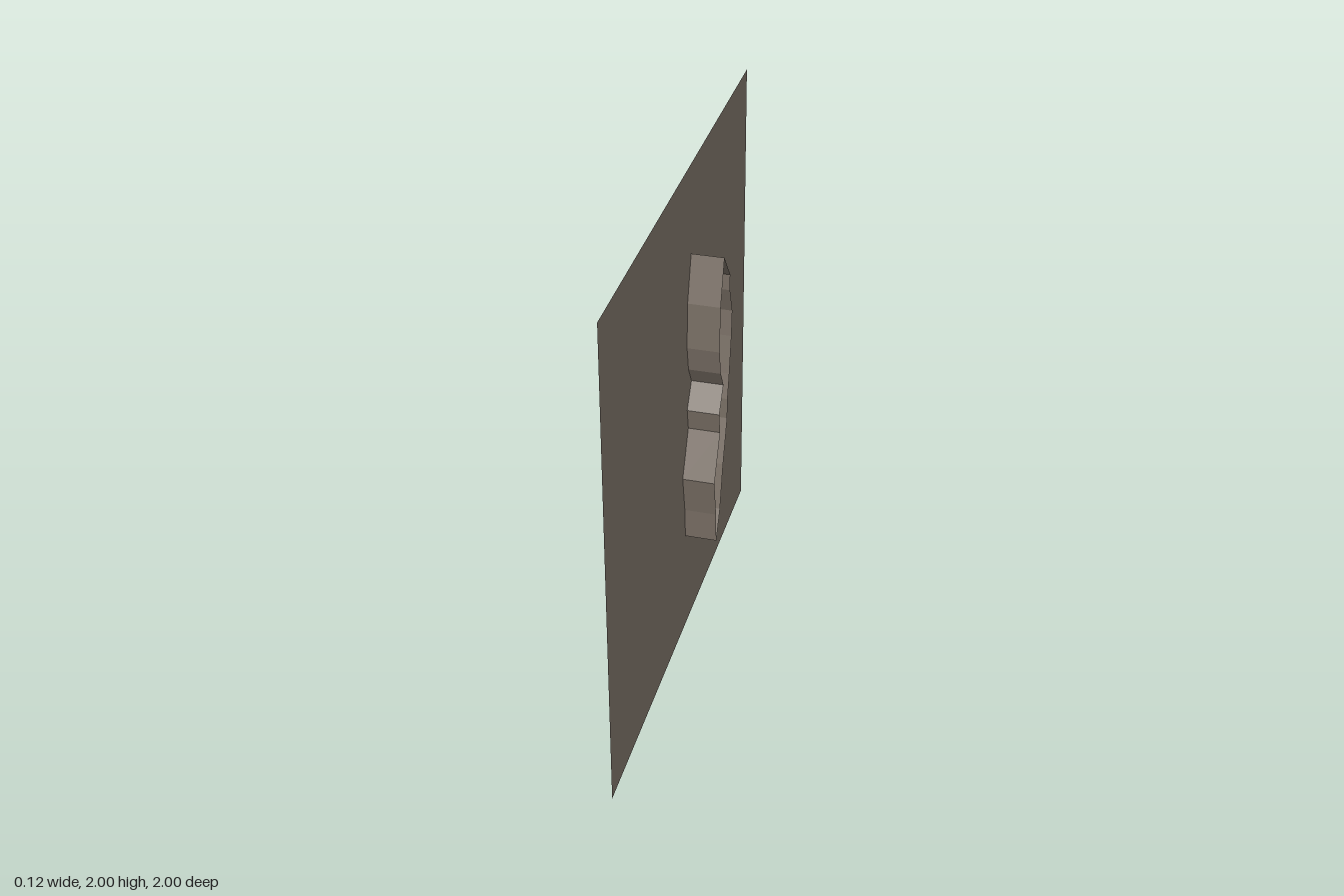
import * as THREE from 'three';

// Jagged outline of the crack: [z, y]
const OUTLINE = [
  [-0.143, 1.64], [-0.235, 1.52], [-0.234, 1.455], [-0.274, 1.345], [-0.264, 1.24],
  [-0.235, 1.09], [-0.21, 0.99], [-0.207, 0.905], [-0.146, 0.73], [-0.1, 0.55],
  [-0.045, 0.435], [-0.038, 0.565], [-0.009, 0.73], [-0.095, 0.91], [-0.079, 1.0],
  [-0.143, 1.095], [-0.1, 1.17], [-0.08, 1.275], [-0.09, 1.46],
];
const BACK = -0.0625, FRONT = 0.0625;

export function createModel() {
  const group = new THREE.Group();
  group.name = 'crackedWall';
  const stone = new THREE.MeshStandardMaterial({ color: 0x786e64, side: THREE.DoubleSide });
  stone.name = 'stone';

  // Thin square sheet with the crack cut through it, turned to face +x
  const sheet = new THREE.Shape([[-1, 0], [1, 0], [1, 2], [-1, 2]].map(([x, y]) => new THREE.Vector2(x, y)));
  sheet.holes.push(new THREE.Path(OUTLINE.map(([z, y]) => new THREE.Vector2(-z, y))));
  const sheetGeometry = new THREE.ShapeGeometry(sheet).rotateY(Math.PI / 2).translate(BACK, 0, 0);
  const wall = new THREE.Mesh(sheetGeometry, stone);
  wall.name = 'wallSheet';
  group.add(wall);

  // Open rim: one flat strip per edge of the outline, standing out from the sheet
  const positions = [];
  OUTLINE.forEach(([z0, y0], i) => {
    const [z1, y1] = OUTLINE[(i + 1) % OUTLINE.length];
    const a = [BACK, y0, z0], b = [BACK, y1, z1], c = [FRONT, y1, z1], d = [FRONT, y0, z0];
    positions.push(...a, ...b, ...c, ...a, ...c, ...d);
  });
  const rimGeometry = new THREE.BufferGeometry();
  rimGeometry.setAttribute('position', new THREE.Float32BufferAttribute(positions, 3));
  rimGeometry.computeVertexNormals();
  const rim = new THREE.Mesh(rimGeometry, stone);
  rim.name = 'crackRim';
  group.add(rim);

  return group;
}
